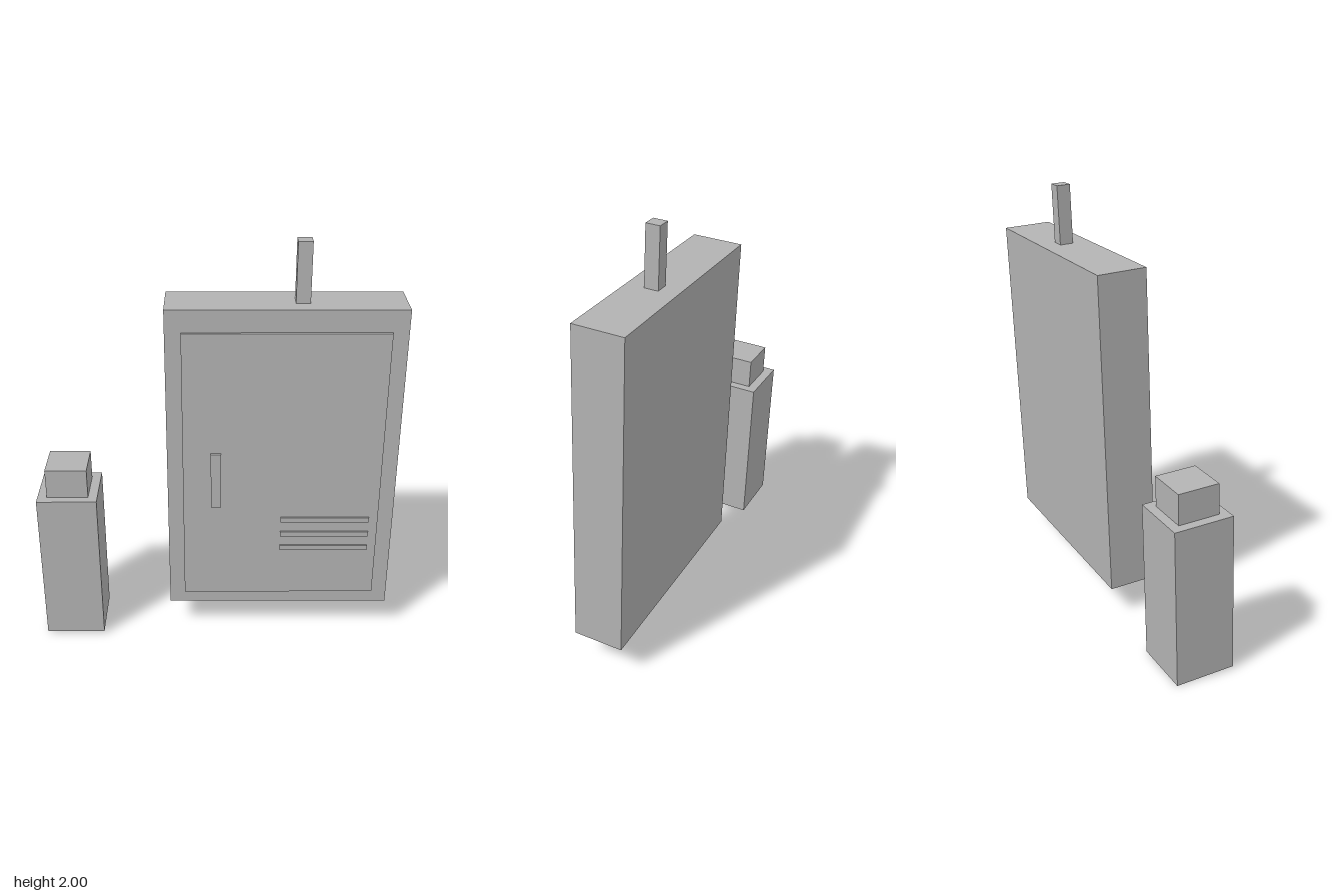
import * as THREE from 'three';

export function createModel() {
  const model = new THREE.Group();
  model.name = 'cabinetAndCanister';
  const grey = new THREE.MeshStandardMaterial({ color: 0xb3b3b3 });
  grey.name = 'grey';

  // Box given by its extents on each axis
  function box(name, parent, [x0, x1], [y0, y1], [z0, z1]) {
    const mesh = new THREE.Mesh(new THREE.BoxGeometry(x1 - x0, y1 - y0, z1 - z0), grey);
    mesh.position.set((x0 + x1) / 2, (y0 + y1) / 2, (z0 + z1) / 2);
    mesh.name = name;
    parent.add(mesh);
  }

  // Everything leans slightly backwards
  const lean = new THREE.Group();
  lean.name = 'leaningParts';
  lean.rotation.x = THREE.MathUtils.degToRad(-2.5);
  model.add(lean);

  // Cabinet with raised door, handle and post on top
  const cabinet = new THREE.Group();
  cabinet.name = 'cabinet';
  lean.add(cabinet);
  box('cabinetBody', cabinet, [-0.231, 0.857], [0.153, 1.719], [-0.109, 0.128]);
  box('door', cabinet, [-0.157, 0.783], [0.222, 1.613], [0.12, 0.143]);
  box('handle', cabinet, [-0.025, 0.024], [0.726, 1.013], [0.14, 0.158]);
  box('topPost', cabinet, [0.356, 0.422], [1.719, 2.0], [-0.023, 0.043]);

  // Three vent slats low on the door
  for (let i = 0; i < 3; i++) {
    const y = 0.491 + i * 0.0795;
    box('ventSlat', cabinet, [0.312, 0.74], [y - 0.013, y + 0.013], [0.14, 0.153]);
  }

  // Square canister with a smaller cap
  const canister = new THREE.Group();
  canister.name = 'canister';
  lean.add(canister);
  box('canisterBody', canister, [-0.857, -0.57], [0.0045, 0.773], [-0.103, 0.184]);
  box('canisterCap', canister, [-0.812, -0.614], [0.773, 0.919], [-0.058, 0.14]);

  return model;
}
